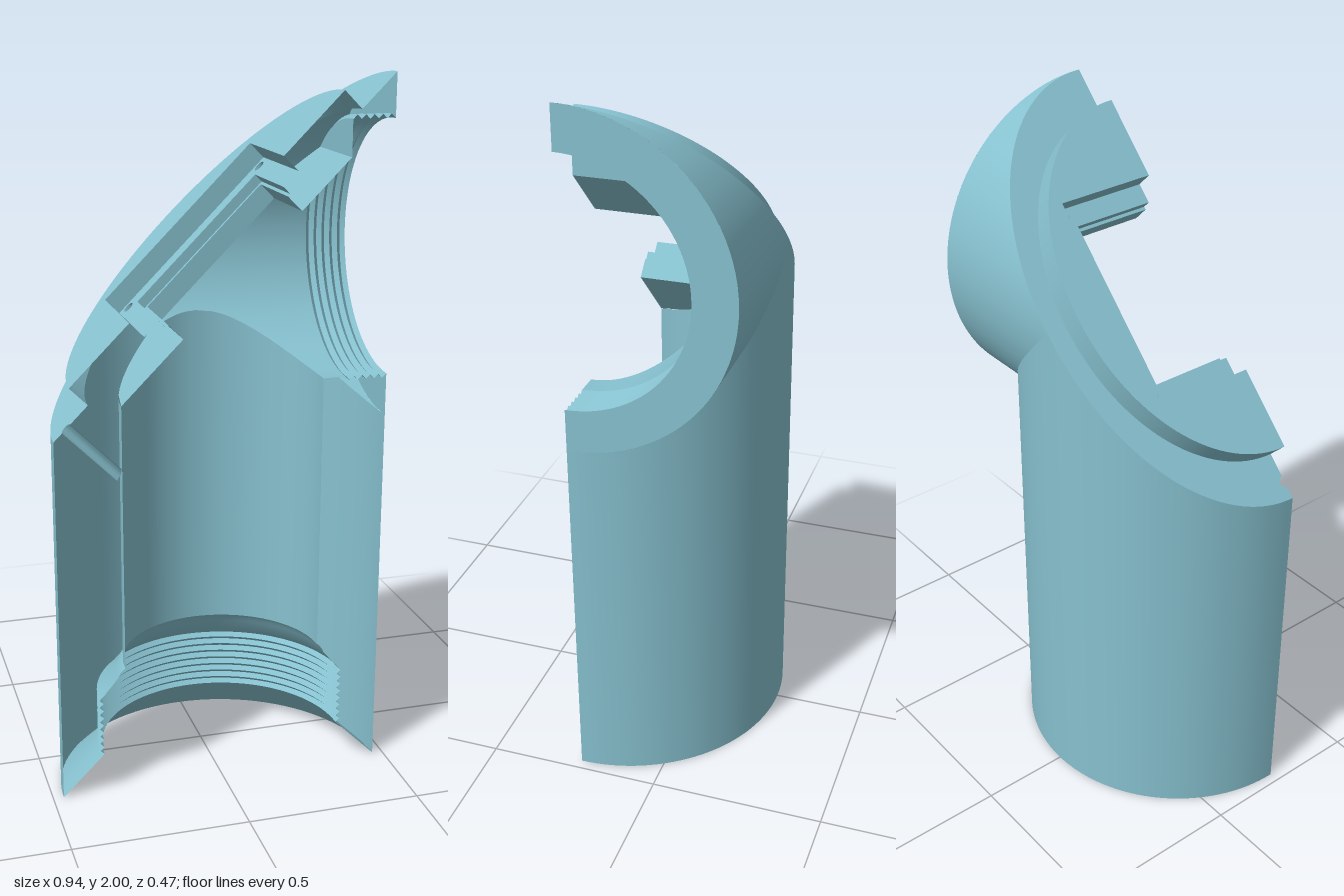
import * as THREE from 'three';
import { toCreasedNormals } from 'three/addons/utils/BufferGeometryUtils.js';
import { ParametricGeometry } from 'three/addons/geometries/ParametricGeometry.js';

const R = 0.47;         // outer radius
const BORE = 0.285;     // upright bore radius
const SIDE = 0.35;      // side bore radius
const AXIS = 1.53;      // height of the side bore axis
const N = 0.0707;       // half thickness of the slanted plate and boss

export function createModel() {
  const model = new THREE.Group();
  model.name = 'halfElbowFitting';
  const blue = new THREE.MeshStandardMaterial({ color: 0x86c0ce, side: THREE.DoubleSide });
  blue.name = 'paleBlue';

  const body = new THREE.Group();
  body.name = 'body';
  body.position.z = R / 2;
  model.add(body);

  const add = (parent, name, geometry) => {
    const mesh = new THREE.Mesh(toCreasedNormals(geometry, 0.5), blue);
    mesh.name = name;
    parent.add(mesh);
    return mesh;
  };
  // Ruled surface: a angle runs from a0 to a1, fn(a, t) gives a point
  const sheet = (name, a0, a1, fn, slices = 48) =>
    add(body, name, new ParametricGeometry((p, t, out) => out.set(...fn(a0 + (a1 - a0) * p, t)), slices, 1));
  const mix = THREE.MathUtils.lerp;
  const chord = (r, d) => Math.sqrt(Math.max(0, r * r - d * d));

  // Outer shell: two half cylinders meeting in a mitre
  sheet('uprightShell', 0, Math.PI, (a, t) => {
    const x = R * Math.cos(a);
    return [x, t * (AXIS - Math.abs(x)), -R * Math.sin(a)];
  }, 64);
  sheet('sideShell', 0, Math.PI, (a, t) => {
    const v = R * Math.cos(a);
    return [mix(Math.abs(v), R, t), AXIS + v, -R * Math.sin(a)];
  }, 64);

  // Upright bore, ending at the side bore or at the slanted plate
  sheet('uprightBore', 0, Math.PI, (a, t) => {
    const x = BORE * Math.cos(a), w = BORE * Math.sin(a);
    return [x, mix(0.38, AXIS + Math.min(x - 0.1, -chord(SIDE, w)), t), -w];
  }, 64);

  // Side bore, trimmed around the upright bore and the slanted plate
  const meet = Math.asin(BORE / SIDE), top = Math.acos(-0.25 / SIDE);
  const boreStrip = (name, a0, a1, from, to) => sheet(name, a0, a1, (a, t) => {
    const v = -SIDE * Math.cos(a), w = SIDE * Math.sin(a);
    return [mix(from(v, w), to(v, w), t), AXIS + v, -w];
  });
  boreStrip('sideBoreLower', 0, meet, (v, w) => chord(BORE, w), () => SIDE);
  boreStrip('sideBoreCorner', 0.6, meet,
    (v, w) => Math.min(v + 0.1, -chord(BORE, w)), (v, w) => -chord(BORE, w));
  boreStrip('sideBoreUpper', meet, top, (v) => v + 0.1, () => SIDE);
  sheet('sideBoreEndWall', top, Math.PI, (a, t) =>
    [SIDE, AXIS + mix(0.25, -SIDE * Math.cos(a), t), -SIDE * Math.sin(a)]);

  // Threaded sockets, revolved through half a turn
  const thread = (y0, y1, turns) => {
    const points = [];
    for (let i = 0; i <= turns * 2; i++) {
      points.push([i % 2 ? 0.361 : 0.349, mix(y0, y1, i / (turns * 2))]);
    }
    return points;
  };
  const revolve = (name, profile) => add(body, name, new THREE.LatheGeometry(
    profile.map(([r, y]) => new THREE.Vector2(r, y)), 48, Math.PI / 2, Math.PI));
  revolve('bottomSocket', [[R, 0], ...thread(0.12, 0.3, 8),
    [0.305, 0.353], [0.3, 0.365], [BORE, 0.38]]);
  const sideSocket = revolve('sideSocket', [...thread(SIDE, R, 5), [R, R]]);
  sideSocket.rotation.z = -Math.PI / 2;
  sideSocket.position.y = AXIS;

  // Slanted frame: x along the slope, y towards the back, z out of the plate
  const slope = new THREE.Group();
  slope.name = 'slantedPlate';
  slope.rotation.setFromRotationMatrix(new THREE.Matrix4().makeBasis(
    new THREE.Vector3(1, 1, 0).normalize(),
    new THREE.Vector3(0, 0, -1),
    new THREE.Vector3(-1, 1, 0).normalize()));
  slope.position.y = AXIS;
  body.add(slope);

  const V = (x, y) => new THREE.Vector2(x, y);
  const arch = (a, b) => Array.from({ length: 65 }, (_, i) => {
    const t = Math.PI * (1 - i / 64);
    return V(a * Math.cos(t), b * Math.sin(t));
  });
  const box = (a, b) => [V(-a, 0), V(-a, b), V(a, b), V(a, 0)];

  // Flat face between two outlines that both run left to right
  const face = (name, outer, inner, level, holes = []) => {
    const shape = new THREE.Shape([...outer, ...[...inner].reverse()]);
    for (const h of holes) {
      shape.holes.push(new THREE.Path().absarc(h.x, h.y, 0.016, 0, Math.PI * 2));
    }
    add(slope, name, new THREE.ShapeGeometry(shape, 12)).position.z = level;
  };
  // Upright wall following an outline
  const wall = (name, points, low, high) => {
    const g = new THREE.PlaneGeometry(1, 1, points.length - 1, 1);
    const p = g.attributes.position;
    for (let i = 0; i < p.count; i++) {
      const q = points[i % points.length];
      p.setXYZ(i, q.x, q.y, i < points.length ? high : low);
    }
    add(slope, name, g);
  };

  const bossEdge = arch(0.53, 0.41);
  const recess = box(0.297, 0.295);
  const ledge = box(0.24, 0.245);
  const windowEdge = box(0.231, 0.235);
  const pins = [V(-0.268, 0.27), V(0.268, 0.27)];

  // Rim, with a half-round notch where the drain hole starts
  const notch = Array.from({ length: 9 }, (_, i) => {
    const t = Math.PI * (1 - i / 8);
    return V(-0.615 + 0.016 * Math.cos(t), 0.016 * Math.sin(t));
  });
  face('rim', arch(R * Math.SQRT2, R), [...notch, ...bossEdge], 0);
  wall('drainHole', notch, -0.21, 0);

  // Raised boss with a stepped window
  wall('bossSide', bossEdge, 0, N);
  face('bossTop', bossEdge, recess, N);
  wall('recessSide', recess, 0.014, N);
  face('recessFloor', recess, ledge, 0.014, pins);
  wall('ledgeSide', ledge, -0.014, 0.014);
  face('ledgeFloor', ledge, windowEdge, -0.014);
  wall('windowSide', windowEdge, -N, -0.014);
  for (const pin of pins) {
    const hole = add(slope, 'pinHole', new THREE.CylinderGeometry(0.016, 0.016, 0.05, 16, 1, true));
    hole.rotation.x = Math.PI / 2;
    hole.position.set(pin.x, pin.y, -0.011);
  }

  // Underside of the plate, bounded by both bores
  const under = Array.from({ length: 65 }, (_, i) => {
    const u = mix(-BORE, SIDE, i / 64);
    return V((2 * u - 0.1) / Math.SQRT2, Math.max(chord(BORE, u), chord(SIDE, u - 0.1)));
  });
  under.push(V(under[64].x, 0));
  face('plateUnderside', under, windowEdge, -N);

  return model;
}
